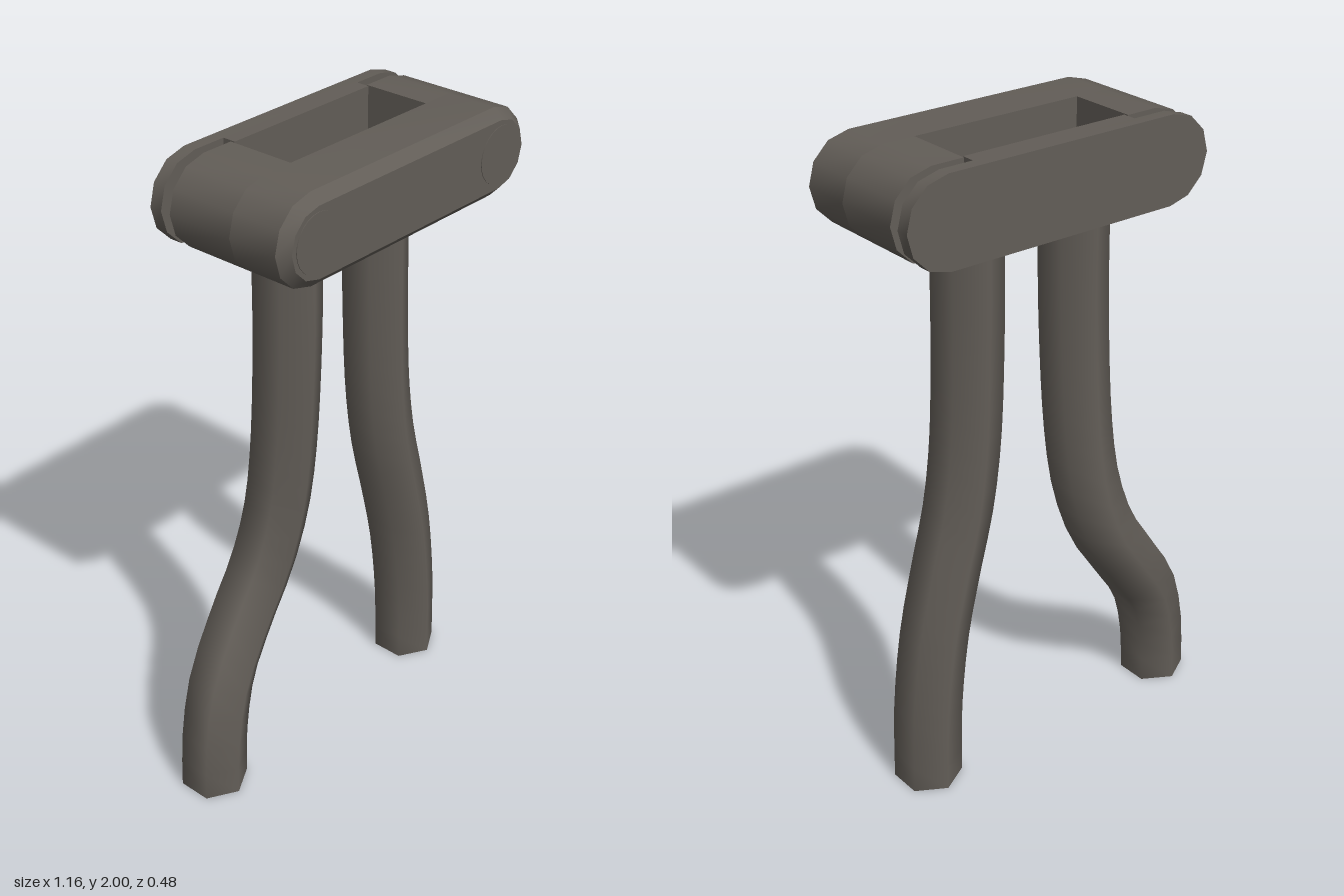
import * as THREE from 'three';
import { toCreasedNormals } from 'three/addons/utils/BufferGeometryUtils.js';

const metal = new THREE.MeshStandardMaterial({ color: 0x625d57 });
metal.name = 'dark grey metal';
const tubeMetal = metal.clone();
tubeMetal.name = 'dark grey open tube';
tubeMetal.side = THREE.DoubleSide;

const R = 0.133, CY = 2 - R;          // clamp end radius and centre height
const ENDS = [-0.317, 0.447];         // x of the two rounded ends
const INNER = [-0.215, 0.345];        // x of the slot's side walls

// points of one rounded end, from bottom to top; side is -1 or 1
function endArc(cx, side) {
  const pts = [];
  for (let i = 0; i <= 6; i++) {
    const a = -Math.PI / 2 + i * Math.PI / 6;
    pts.push(new THREE.Vector2(cx + side * R * Math.cos(a), CY + R * Math.sin(a)));
  }
  return pts;
}
const stadium = () => new THREE.Shape([...endArc(ENDS[1], 1), ...endArc(ENDS[0], -1).reverse()]);

function extrude(shape, z0, z1, steps = 1) {
  const g = new THREE.ExtrudeGeometry(shape, { depth: z1 - z0, steps, bevelEnabled: false });
  return g.translate(0, 0, z0);
}

// hexagonal open tube swept along a curve, keeping its points facing front and back
function sweptTube(points, rings = 22, sides = 6, radius = 0.104) {
  const curve = new THREE.CatmullRomCurve3(points.map(p => new THREE.Vector3(...p)));
  const pos = [], index = [];
  for (let i = 0; i <= rings; i++) {
    const p = curve.getPointAt(i / rings), t = curve.getTangentAt(i / rings);
    const flat = i === 0 || i === rings;
    const across = flat ? new THREE.Vector3(1, 0, 0) : new THREE.Vector3(t.y, -t.x, 0).normalize();
    for (let j = 0; j < sides; j++) {
      const a = j / sides * Math.PI * 2;
      const s = Math.sin(a) * radius;
      pos.push(p.x + across.x * s, p.y + across.y * s, p.z + Math.cos(a) * radius);
      if (i < rings) {
        const k = i * sides, n = (j + 1) % sides;
        index.push(k + j, k + n, k + sides + j, k + n, k + sides + n, k + sides + j);
      }
    }
  }
  const g = new THREE.BufferGeometry();
  g.setAttribute('position', new THREE.Float32BufferAttribute(pos, 3));
  g.setIndex(index);
  g.computeVertexNormals();
  return g;
}

export function createModel() {
  const model = new THREE.Group();
  model.name = 'clampWithLegs';
  const add = (name, geometry, material = metal) => {
    const mesh = new THREE.Mesh(geometry, material);
    mesh.name = name;
    model.add(mesh);
    return mesh;
  };
  const smooth = g => toCreasedNormals(g, 0.62);

  // front of the clamp, with a chamfered front rim
  const front = extrude(stadium(), 0.05, 0.24, 2);
  const p = front.attributes.position;
  for (let i = 0; i < p.count; i++) {
    const z = p.getZ(i);
    if (z > 0.23) {
      const cx = THREE.MathUtils.clamp(p.getX(i), ENDS[0], ENDS[1]);
      const k = (R - 0.03) / R;
      p.setXY(i, cx + (p.getX(i) - cx) * k, CY + (p.getY(i) - CY) * k);
    } else if (z > 0.1) p.setZ(i, 0.21);
  }
  add('clampFront', smooth(front));

  // arms beside the slot, screw heads and pins
  [-1, 1].forEach((side, i) => {
    const word = side < 0 ? 'right' : 'left';
    const shape = new THREE.Shape([
      new THREE.Vector2(INNER[i], CY - R), ...endArc(ENDS[i], side), new THREE.Vector2(INNER[i], CY + R)]);
    add(word + 'ClampArm', smooth(extrude(shape, -0.167, 0.05)));

    const head = new THREE.CylinderGeometry(0.087, 0.087, 0.006, 24).rotateX(Math.PI / 2);
    add(word + 'ScrewHead', head).position.set(ENDS[i], CY, 0.239);

    const pin = new THREE.CylinderGeometry(0.038, 0.038, 0.04, 16).rotateX(Math.PI / 2);
    add(word + 'Pin', pin).position.set(ENDS[i], CY, -0.184);
  });

  // back plate with the raised block that closes the slot
  add('backPlate', smooth(extrude(stadium(), -0.24, -0.2)));
  add('backPlateBlock', new THREE.BoxGeometry(0.55, 2 * R, 0.042)).position.set(0.066, CY, -0.179);

  // curved legs
  add('rightLeg', sweptTube([
    [-0.492, 0, -0.05], [-0.479, 0.17, -0.054], [-0.427, 0.35, -0.066], [-0.32, 0.51, -0.082],
    [-0.222, 0.66, -0.084], [-0.165, 0.83, -0.075], [-0.14, 1.02, -0.065],
    [-0.126, 1.4, -0.053], [-0.123, 1.8, -0.052]]), tubeMetal);
  add('leftLeg', sweptTube([
    [0.437, 0, -0.05], [0.429, 0.25, -0.05], [0.398, 0.5, -0.05], [0.352, 0.7, -0.05],
    [0.301, 0.9, -0.05], [0.272, 1.1, -0.05], [0.257, 1.4, -0.05], [0.253, 1.8, -0.052]]), tubeMetal);

  return model;
}
